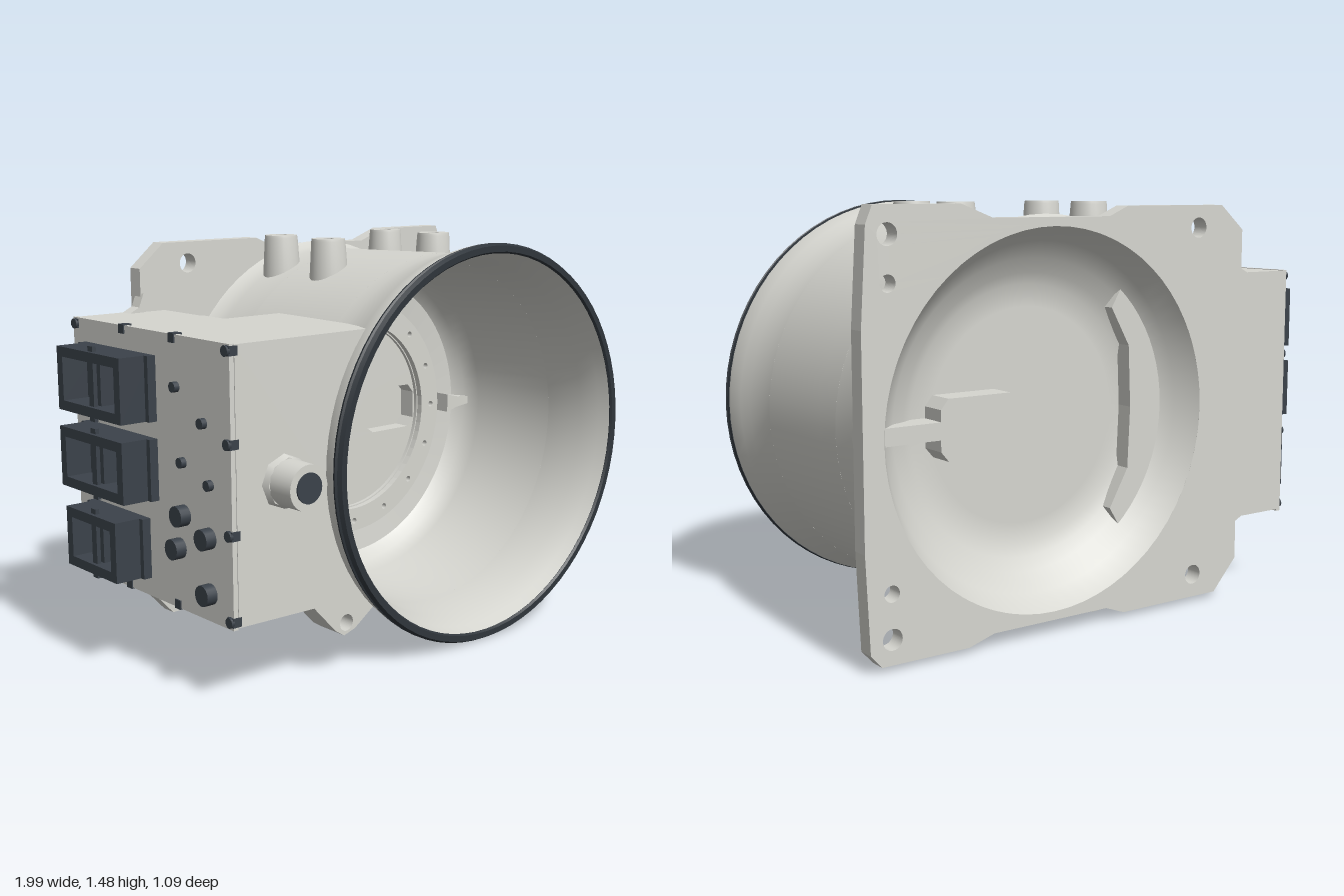
import * as THREE from 'three';
import { toCreasedNormals } from 'three/addons/utils/BufferGeometryUtils.js';

const CX = 0.25, CY = 0.745; // drum axis
const PI = Math.PI;

export function createModel() {
  const root = new THREE.Group();
  const mat = (name, color) => {
    const m = new THREE.MeshStandardMaterial({ color });
    m.name = name;
    return m;
  };
  const metal = mat('castMetal', 0xd6d6d0);
  const dark = mat('darkPlastic', 0x3b424a);
  const rubber = mat('blackRubber', 0x2f353b);

  const add = (name, geo, m, x = 0, y = 0, z = 0) => {
    const mesh = new THREE.Mesh(geo, m);
    mesh.name = name;
    mesh.position.set(x, y, z);
    root.add(mesh);
    return mesh;
  };
  const box = (name, m, x0, x1, y0, y1, z0, z1) =>
    add(name, new THREE.BoxGeometry(x1 - x0, y1 - y0, z1 - z0), m, (x0 + x1) / 2, (y0 + y1) / 2, (z0 + z1) / 2);
  const vec = pts => pts.map(p => new THREE.Vector2(p[0], p[1]));
  const circle = (x, y, r) => new THREE.Path().absarc(x, y, r, 0, 2 * PI, true);
  const poly = pts => new THREE.Shape(vec(pts));
  const extrude = (name, shape, z0, z1, m = metal) =>
    add(name, new THREE.ExtrudeGeometry(shape, { depth: z1 - z0, bevelEnabled: false, curveSegments: 32 }), m, 0, 0, z0);
  // ring around the drum axis from a closed (radius, z) profile
  const ring = (name, pts, m = metal, start = 0, len = 2 * PI) => {
    const g = new THREE.LatheGeometry(vec(pts), 72, start, len).rotateX(PI / 2);
    return add(name, toCreasedNormals(g, 0.6), m, CX, CY, 0);
  };

  // drum: flared front, side wall with an opening on the box side, dished back
  const OPEN = 0.41;
  ring('drumFront', [[0.69, 0.22], [0.692, 0.28], [0.705, 0.35], [0.72, 0.4], [0.735, 0.45], [0.735, 0.47], [0.715, 0.475],
    [0.715, 0.495], [0.705, 0.495], [0.69, 0.45], [0.665, 0.38], [0.655, 0.22], [0.69, 0.22]]);
  ring('drumWall', [[0.678, -0.255], [0.68, -0.15], [0.69, 0.22], [0.655, 0.22], [0.63, -0.15], [0.61, -0.22], [0.57, -0.255],
    [0.678, -0.255]], metal, 1.5 * PI + OPEN, 2 * PI - 2 * OPEN);
  ring('drumBack', [[0.38, -0.36], [0.46, -0.36], [0.5, -0.385], [0.55, -0.405], [0.61, -0.46], [0.66, -0.545], [0.68, -0.545],
    [0.7, -0.485], [0.682, -0.45], [0.675, -0.4], [0.678, -0.255], [0.57, -0.255], [0.48, -0.275], [0.38, -0.275], [0.38, -0.36]]);
  ring('frontSeal', [[0.71, 0.465], [0.737, 0.465], [0.74, 0.475], [0.73, 0.481], [0.74, 0.488], [0.732, 0.503],
    [0.71, 0.503], [0.704, 0.495], [0.71, 0.465]], rubber);

  // bolt ring on the inner floor
  const boltRing = new THREE.Shape().absarc(CX, CY, 0.48, 0, 2 * PI, false);
  boltRing.holes.push(circle(CX, CY, 0.385));
  for (let i = 0; i < 16; i++) {
    const a = i * PI / 8;
    boltRing.holes.push(circle(CX + 0.438 * Math.cos(a), CY + 0.438 * Math.sin(a), 0.012));
  }
  extrude('boltRing', boltRing, -0.275, -0.25);

  // floor disc with an elongated pocket, closed by a boss on the back
  const slot = (g, x1) => [[0.39 - g, 0.655 - g], [x1, 0.655 - g], [x1 + 0.03, 0.69 - g], [x1 + 0.03, 0.8 + g],
    [x1, 0.835 + g], [0.39 - g, 0.835 + g], [0.345 - g, 0.805 + g], [0.32 - g, 0.77 + g], [0.32 - g, 0.72 - g], [0.345 - g, 0.685 - g]];
  const floor = new THREE.Shape().absarc(CX, CY, 0.385, 0, 2 * PI, false);
  floor.holes.push(new THREE.Path(vec(slot(0, 0.59))));
  extrude('floorDisc', floor, -0.36, -0.29);
  extrude('pocketBoss', poly(slot(0.015, 0.62)), -0.46, -0.36);
  box('bossChannel', metal, 0.64, 0.86, 0.715, 0.775, -0.46, -0.35);
  extrude('innerRib', poly([[0.74, 0.71], [0.8, 0.725], [0.89, 0.735], [0.89, 0.76], [0.8, 0.77], [0.74, 0.785]]), -0.28, -0.2);

  // shelf in the rear dish, beside the box
  const shelf = new THREE.Shape().absarc(CX, CY, 0.58, PI - 0.85, PI + 0.85, false);
  for (const [x, y] of [[-0.09, 0.38], [-0.17, 0.52], [-0.18, 0.745], [-0.17, 0.97], [-0.09, 1.11]]) shelf.lineTo(x, y);
  extrude('rearShelf', shelf, -0.425, -0.35);

  // mounting plate
  const plate = poly([[-0.5, 0.025], [-0.06, 0.025], [0.02, 0.055], [0.5, 0.055], [0.6, 0.025], [0.93, 0.025], [0.97, 0.07],
    [0.985, 0.4], [0.985, 1.1], [0.965, 1.42], [0.94, 1.48], [0.62, 1.48], [0.5, 1.435], [0.02, 1.435], [-0.06, 1.47],
    [-0.5, 1.47], [-0.605, 1.38], [-0.605, 0.14]]);
  plate.holes.push(circle(CX, CY, 0.66));
  for (const [x, y, r] of [[-0.39, 1.39, 0.036], [-0.39, 0.11, 0.036], [0.89, 1.39, 0.036], [0.89, 0.11, 0.036],
    [0.89, 1.24, 0.028], [0.89, 0.26, 0.028]]) plate.holes.push(circle(x, y, r));
  extrude('mountingPlate', plate, -0.545, -0.482);
  extrude('upperFillet', poly([[-0.68, 1.21], [-0.6, 1.21], [-0.6, 1.29], [-0.62, 1.24]]), -0.52, -0.47);
  extrude('lowerFillet', poly([[-0.68, 0.3], [-0.62, 0.27], [-0.6, 0.22], [-0.6, 0.3]]), -0.52, -0.47);

  // electronics box in layers, hollow in the middle ones, cut back near the plate
  const boxLayer = (name, z0, z1, r, a, xr, open) => {
    const s = new THREE.Shape();
    s.moveTo(-0.85, 1.22);
    s.lineTo(xr, 1.22);
    if (open) {
      s.absarc(CX, CY, r, PI - a, PI - OPEN, false);
      s.lineTo(-0.5, 1.01);
      s.lineTo(-0.5, 0.48);
      s.absarc(CX, CY, r, PI + OPEN, PI + a, false);
    } else s.absarc(CX, CY, r, PI - a, PI + a, false);
    s.lineTo(xr, 0.29);
    s.lineTo(-0.85, 0.29);
    extrude(name, s, z0, z1);
  };
  boxLayer('boxBack', -0.52, -0.255, 0.67, 0.58, -0.5, false);
  boxLayer('boxRearMiddle', -0.255, -0.12, 0.645, 0.58, -0.49, true);
  boxLayer('boxMiddle', -0.12, 0.22, 0.66, 0.77, -0.24, true);
  boxLayer('boxFront', 0.22, 0.415, 0.675, 0.77, -0.24, false);
  box('boxCover', metal, -0.868, -0.85, 0.283, 1.222, -0.52, 0.412);
  box('innerSocket', dark, -0.5, -0.465, 0.62, 0.92, 0, 0.14);
  for (const y of [0.6, 0.7, 0.8]) box('innerBlock', metal, -0.5, -0.46, y, y + 0.06, -0.15, -0.06);

  // lug under the box
  const lug = poly([[-0.54, 0.3], [-0.42, 0.17], [-0.38, 0.145], [-0.33, 0.16], [-0.2, 0.25], [-0.25, 0.3]]);
  lug.holes.push(circle(-0.37, 0.19, 0.03));
  extrude('lowerLug', lug, 0.28, 0.4);

  // rectangular sockets on the cover
  const socket = (y0, y1, z0, z1) => {
    const s = poly([[z0, y0], [z1, y0], [z1, y1], [z0, y1]]);
    const t = 0.035, zm = (z0 + z1) / 2;
    s.holes.push(new THREE.Path(vec([[z0 + t, y0 + t], [z0 + t, y1 - t], [z1 - t, y1 - t], [z1 - t, y0 + t]])));
    const g = new THREE.ExtrudeGeometry(s, { depth: 0.13, bevelEnabled: false }).rotateY(-PI / 2);
    add('socketShell', g, dark, -0.868);
    box('socketBase', dark, -0.9, -0.865, y0, y1, z0 - 0.02, z1 + 0.02);
    box('socketDivider', dark, -0.96, -0.89, y0 + t, y1 - t, zm - 0.02, zm + 0.02);
    box('socketLatch', dark, -0.985, -0.97, y0 - 0.018, y1 + 0.018, zm - 0.015, zm + 0.015);
  };
  socket(0.915, 1.14, -0.42, -0.02);
  socket(0.64, 0.855, -0.42, -0.02);
  socket(0.35, 0.565, -0.4, -0.08);

  // screws, clips and round plugs on the cover
  const stud = (name, y, z, r, len) => {
    const g = new THREE.CylinderGeometry(r, r, len, 16).rotateZ(PI / 2);
    add(name, g, dark, -0.868 - len / 2, y, z);
  };
  const clip = (y, z) => box('coverClip', dark, -0.873, -0.838, y - 0.016, y + 0.016, z - 0.016, z + 0.016);
  for (const y of [0.31, 0.6, 0.9, 1.2]) for (const z of [-0.5, 0.4]) {
    stud('coverScrew', y, z, 0.018, 0.012);
    clip(y, z);
  }
  for (const z of [-0.2, 0.1]) for (const y of [0.295, 1.21]) clip(y, z);
  for (const [y, z] of [[0.57, 0.29], [0.38, 0.29], [0.5, 0.12], [0.62, 0.15]]) stud('roundPlug', y, z, 0.036, 0.04);
  for (const [y, z] of [[1.05, 0.12], [0.95, 0.27], [0.8, 0.15], [0.75, 0.3]]) stud('smallPlug', y, z, 0.018, 0.02);

  // round port on the box front
  const port = (name, r0, r1, z0, z1, sides, m) =>
    add(name, new THREE.CylinderGeometry(r1, r0, z1 - z0, sides).rotateX(PI / 2), m, -0.655, 0.75, (z0 + z1) / 2);
  port('portFoot', 0.095, 0.085, 0.41, 0.44, 8, metal);
  port('portBody', 0.08, 0.078, 0.43, 0.54, 32, metal);
  port('portCore', 0.052, 0.052, 0.535, 0.545, 20, dark);

  // hollow pegs above and below the drum, their feet following its curve
  const profile = vec([[0.072, 0], [0.064, 0.14], [0.062, 0.15], [0.022, 0.15], [0.018, 0.09], [0, 0.09]]);
  for (const x of [-0.025, 0.53]) {
    const g = new THREE.LatheGeometry(profile, 24);
    const p = g.attributes.position;
    for (let i = 0; i < p.count; i++) {
      if (p.getY(i) < 0.01) p.setY(i, Math.sqrt(0.665 ** 2 - (x + p.getX(i) - CX) ** 2) + CY - 1.335);
    }
    const peg = toCreasedNormals(g, 0.6);
    for (const z of [-0.37, -0.09]) {
      add('upperPeg', peg, metal, x, 1.335, z);
      add('lowerPeg', peg, metal, x, 0.157, z).rotation.x = PI;
    }
  }

  // side screw
  add('sideScrewSeat', new THREE.CylinderGeometry(0.04, 0.04, 0.04, 20).rotateZ(PI / 2), metal, 0.91, 0.745, -0.41);
  add('sideScrew', new THREE.CylinderGeometry(0.02, 0.02, 0.01, 6).rotateZ(PI / 2), dark, 0.928, 0.745, -0.41);

  return root;
}
